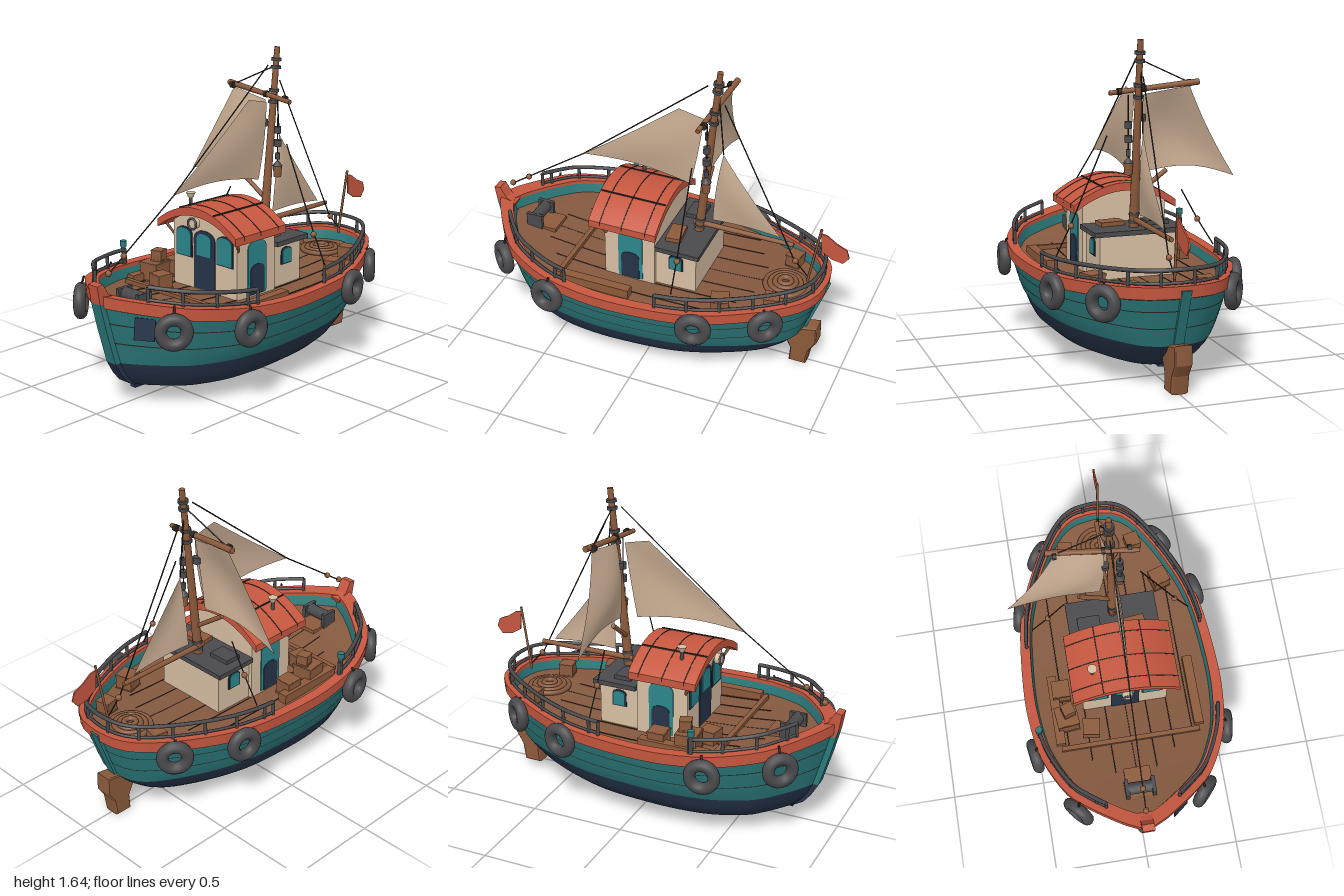
import * as THREE from 'three';
import { toCreasedNormals } from 'three/addons/utils/BufferGeometryUtils.js';

const paint = (name, color, side = THREE.FrontSide) => {
  const m = new THREE.MeshStandardMaterial({ color, side });
  m.name = name;
  return m;
};
const V = (x, y, z) => new THREE.Vector3(x, y, z);

export function createModel() {
  const model = new THREE.Group();
  const red = paint('red trim', 0xc6573f), teal = paint('teal hull', 0x2c7a7c);
  const navy = paint('navy', 0x263449), deckBrown = paint('deck planks', 0x85593f);
  const wood = paint('spar wood', 0x8c5a3b), cream = paint('cream wall', 0xd8bfa3);
  const canvas = paint('sail canvas', 0xc6aa90, THREE.DoubleSide);
  const charcoal = paint('charcoal', 0x4a4a4d), glass = paint('window glass', 0x2b868c);
  const ink = paint('dark rope', 0x302824);

  // ---- helpers ----
  const add = (name, geo, mat, x = 0, y = 0, z = 0, ry = 0, parent = model) => {
    const m = new THREE.Mesh(geo, mat);
    m.name = name;
    m.position.set(x, y, z);
    m.rotation.y = ry;
    parent.add(m);
    return m;
  };
  const box = (name, w, h, d, mat, x, y, z, ry = 0) => add(name, new THREE.BoxGeometry(w, h, d), mat, x, y, z, ry);
  const cyl = (name, r1, r2, h, mat, x, y, z) => add(name, new THREE.CylinderGeometry(r1, r2, h, 14), mat, x, y, z);
  const rod = (name, a, b, r, mat, rEnd = r) => {
    const d = b.clone().sub(a);
    const m = add(name, new THREE.CylinderGeometry(rEnd, r, d.length(), r > 0.008 ? 12 : 6), mat);
    m.position.copy(a).addScaledVector(d, 0.5);
    m.quaternion.setFromUnitVectors(V(0, 1, 0), d.normalize());
    return m;
  };
  const tube = (name, pts, r, mat) =>
    add(name, new THREE.TubeGeometry(new THREE.CatmullRomCurve3(pts), pts.length * 3, r, 6), mat);
  const loft = (rows) => {
    const n = rows[0].length, idx = [];
    for (let i = 0; i < rows.length - 1; i++)
      for (let j = 0; j < n - 1; j++) {
        const a = i * n + j, c = a + n;
        idx.push(a, a + 1, c + 1, a, c + 1, c);
      }
    const g = new THREE.BufferGeometry().setFromPoints(rows.flat());
    g.setIndex(idx);
    return toCreasedNormals(g, 0.7);
  };
  // side silhouette given as [z, y], extruded across x
  const profile = (name, pts, w, mat, x = 0) => {
    const g = new THREE.ExtrudeGeometry(new THREE.Shape(pts.map(p => new THREE.Vector2(...p))), { depth: w, bevelEnabled: false });
    return add(name, g.rotateY(-Math.PI / 2).translate(w / 2, 0, 0), mat, x);
  };

  // ---- hull: one plan outline, scaled level by level ----
  const plan = new THREE.SplineCurve([[0, .97], [.07, .94], [.14, .9], [.28, .8], [.38, .7], [.475, .5], [.51, .3],
    [.515, .1], [.49, -.2], [.44, -.4], [.35, -.6], [.26, -.75], [.19, -.83], [.11, -.875], [0, -.89]]
    .map(p => new THREE.Vector2(...p)));
  const half = plan.getSpacedPoints(40);
  const loop = [...half, ...half.slice(0, -1).reverse().map(p => new THREE.Vector2(-p.x, p.y))];
  const sheer = z => .505 + (z > 0 ? .1 : .06) * z * z;
  const ring = (w, zs, zb, y) => loop.map(p => {
    const z = zs + (p.y + .89) / 1.86 * (zb - zs);
    return V(p.x / .515 * w, typeof y === 'number' ? y : y(z), z);
  });
  const side = (f, out = 0) => ring(.43 + .08 * f ** .75 + out, -.79 - .09 * f - out, .88 + .085 * f + out,
    z => .235 + f * (sheer(z) - .05 - .235));
  add('lowerHull', loft([ring(0, -.58, .74, .08), ring(.29, -.58, .74, .085), ring(.34, -.63, .79, .1),
    ring(.385, -.69, .83, .14), ring(.412, -.75, .86, .19), ring(.43, -.79, .88, .235)]), navy);
  add('upperHull', loft([0, .15, .3, .45, .6, .75, .9, 1].map(f => side(f))), teal);
  [.36, .7].forEach(f => add('plankSeam', loft([side(f, .002), side(f + .02, .002)]), ink));
  const sy = d => z => sheer(z) + d;
  add('gunwale', loft([ring(.508, -.875, .955, sy(-.065)), ring(.523, -.892, .975, sy(-.06)), ring(.526, -.897, .978, sy(0)),
    ring(.472, -.84, .9, sy(0)), ring(.472, -.84, .9, sy(-.02))]), red);
  add('innerBulwark', loft([ring(.474, -.843, .903, sy(-.015)), ring(.462, -.83, .885, sy(-.075))]), teal);
  add('deck', loft([ring(.465, -.835, .89, sy(-.07)), ring(0, -.835, .89, sy(-.065))]), deckBrown);
  for (let i = -3; i <= 3; i++) {
    const zs = -.6 + Math.abs(i) * .06, zb = .72 - Math.abs(i) * .09, pts = [];
    for (let k = 0; k <= 8; k++) { const z = zs + (zb - zs) * k / 8; pts.push(V(i * .11, sheer(z) - .066, z)); }
    tube('deckSeam', pts, .0025, ink);
  }

  // stem, stern post, keel and rudder
  profile('stem', [[.985, .56], [.95, .42], [.897, .235], [.83, .235], [.9, .56]], .065, teal);
  profile('stemFoot', [[.897, .235], [.86, .17], [.82, .12], [.76, .085], [.7, .085], [.78, .235]], .065, navy);
  profile('stemHead', [[1, .655], [.965, .66], [.93, .6], [.88, .575], [.9, .53], [.965, .52], [.985, .56]], .065, red);
  box('keel', .035, .02, 1.34, navy, 0, .08, .09);
  profile('sternPost', [[-.8, .23], [-.905, .53], [-.86, .53], [-.74, .23]], .05, teal);
  const rudder = new THREE.Shape([[-.71, .22], [-.86, .25], [-.862, .16], [-.825, .1], [-.81, .01], [-.73, .01], [-.735, .09], [-.7, .16]]
    .map(p => new THREE.Vector2(...p)));
  add('rudder', new THREE.ExtrudeGeometry(rudder, { depth: .05, bevelSize: .008, bevelThickness: .02, bevelSegments: 2 })
    .rotateY(-Math.PI / 2).translate(.025, 0, 0), wood);

  // ---- fenders, railings ----
  const tyre = new THREE.TorusGeometry(.063, .031, 12, 28);
  for (const s of [1, -1]) {
    [[.335, .45, .795, .85], [.515, .425, .455, 1.42], [.485, .435, -.345, 1.8], [.335, .445, -.675, 2.25]].forEach(([x, y, z, a]) => {
      add('tyreFender', tyre, charcoal, s * x, y, z, s * a);
      rod('fenderRope', V(s * x, y + .07, z), V(s * x * .97, sheer(z) + .01, z * .98), .006, ink);
    });
  }
  const railing = (pts) => {
    tube('handRail', pts.map(p => V(p.x, p.y + .075, p.z)), .011, charcoal);
    tube('lowRail', pts.map(p => V(p.x, p.y + .012, p.z)), .008, charcoal);
    pts.forEach((p, i) => { if (i % 3 === 0 || i === pts.length - 1) rod('railPost', p, V(p.x, p.y + .075, p.z), .009, charcoal); });
  };
  const railLine = ring(.49, -.862, .93, sy(0));
  railing(railLine.filter(p => p.z > .36 && p.z < .84 && p.x > 0));
  railing(railLine.filter(p => p.z > .36 && p.z < .84 && p.x < 0));
  railing(railLine.filter(p => p.z < -.09));
  const grille = box('bowGrille', .1, .11, .008, navy, .197, .445, .853, .68);
  grille.rotation.x = -.1;

  // ---- wheelhouse ----
  const arch = (hw, yEdge, yCtrl, yLow, lowCtrl) => {
    const s = new THREE.Shape();
    s.moveTo(-hw, yLow); 
    if (lowCtrl) s.quadraticCurveTo(0, lowCtrl, hw, yLow); else s.lineTo(hw, yLow);
    s.lineTo(hw, yEdge);
    s.quadraticCurveTo(0, yCtrl, -hw, yEdge);
    return s;
  };
  const slab = (shape, z0, z1) => toCreasedNormals(
    new THREE.ExtrudeGeometry(shape, { depth: z1 - z0, bevelEnabled: false, curveSegments: 20 }).translate(0, 0, z0), .5);
  add('wheelhouse', slab(arch(.225, .79, .92, .43), -.03, .25), cream);
  add('wheelhouseRoof', slab(arch(.278, .79, 1.0, .75, .955), -.055, .315), red);
  [.0, .13, .25].forEach(z => add('roofSeam', slab(arch(.279, .792, 1.002, .77, .98), z, z + .005), ink));
  [-.12, .12].forEach(x => box('roofBatten', .006, .012, .36, ink, x, .875, .13));
  const panel = (name, w, h, depth, mat, x, y, z, ry) => {
    const s = new THREE.Shape();
    s.moveTo(-w / 2, 0); s.lineTo(w / 2, 0); s.lineTo(w / 2, h - w * .42);
    s.bezierCurveTo(w / 2, h, -w / 2, h, -w / 2, h - w * .42);
    add(name, new THREE.ExtrudeGeometry(s, { depth, bevelEnabled: false }), mat, x, y, z, ry);
  };
  for (const s of [1, -1]) {
    panel('frontWindowFrame', .115, .17, .005, navy, s * .145, .605, .25, 0);
    panel('frontWindow', .1, .155, .009, glass, s * .145, .612, .25, 0);
    panel('sideDoorFrame', .135, .3, .005, glass, s * .225, .45, .105, s * Math.PI / 2);
    panel('sideDoor', .1, .17, .009, navy, s * .225, .45, .105, s * Math.PI / 2);
    panel('cabinWindowFrame', .08, .1, .005, navy, s * .205, .55, -.14, s * Math.PI / 2);
    panel('cabinWindow', .065, .085, .009, glass, s * .205, .557, -.14, s * Math.PI / 2);
    rod('roofBracket', V(s * .225, .7, .24), V(s * .26, .775, .28), .008, wood);
  }
  panel('frontDoor', .15, .33, .005, navy, 0, .45, .25, 0);
  panel('frontDoorWindow', .1, .13, .009, glass, 0, .63, .25, 0);
  const lamp = cyl('roofLamp', .028, .028, .03, cream, 0, .82, .325);
  lamp.rotation.x = Math.PI / 2;
  add('roofLampRim', new THREE.TorusGeometry(.028, .006, 8, 20), charcoal, 0, .82, .34);
  cyl('ventPipe', .01, .01, .07, charcoal, -.16, .88, .19);
  cyl('ventCap', .025, .014, .025, cream, -.16, .915, .19);
  // low aft cabin
  box('aftCabin', .41, .24, .23, cream, 0, .55, -.135);
  box('aftCabinRoof', .48, .025, .24, charcoal, 0, .678, -.155);
  box('roofHatch', .13, .025, .08, wood, .1, .7, -.1, .1);
  box('roofBox', .12, .025, .09, charcoal, -.13, .7, -.13);

  // ---- mast and spars ----
  const mastAt = y => V(.005, y, -.17 - .1 * (y - .5));
  rod('mast', mastAt(.45), mastAt(1.645), .027, wood, .015);
  [.72, .76, 1.36, 1.42, 1.54, 1.58].forEach(y => rod('mastBand', mastAt(y - .008), mastAt(y + .008), .027, charcoal));
  rod('yard', V(-.315, 1.425, -.262), V(.148, 1.38, -.225), .016, wood, .012);
  [-.27, -.03, .1].forEach(x => rod('yardBand', V(x - .01, 1.396 - .08 * x, -.24), V(x + .01, 1.396 - .08 * x, -.24), .018, ink));
  rod('boom', V(0, .73, -.16), V(0, .73, -.7), .015, wood, .012);
  rod('sprit', V(-.17, .975, -.19), V(-.01, .86, -.2), .012, wood);
  [[1.22, .018], [1.15, .02], [1.08, .012]].forEach(([y, r]) => cyl('pulleyBlock', r, r, .035, charcoal, .052, y, -.24));
  cyl('lantern', .024, .02, .06, wood, .052, 1.0, -.24);
  cyl('lanternCap', .006, .027, .025, charcoal, .052, 1.042, -.24);
  cyl('mastLamp', .02, .02, .035, charcoal, -.025, 1.25, -.22);
  rod('lanternLine', V(.052, 1.03, -.24), V(.052, 1.37, -.24), .003, ink);

  // ---- sails: four corners with a belly ----
  const sail = (name, a, b, c, d, belly, sag) => {
    const rows = [];
    for (let i = 0; i <= 12; i++) {
      const u = i / 12, row = [];
      for (let j = 0; j <= 12; j++) {
        const v = j / 12;
        const p = a.clone().lerp(b, v).lerp(d.clone().lerp(c, v), u);
        p.addScaledVector(belly, Math.sin(Math.PI * u) * (.3 + .7 * Math.sin(Math.PI * v)));
        p.y += sag * u * u * Math.sin(Math.PI * v);
        row.push(p);
      }
      rows.push(row);
    }
    add(name, loft(rows), canvas);
  };
  sail('squareSail', V(-.27, 1.405, -.25), V(-.03, 1.37, -.235), V(-.06, .975, -.2), V(-.54, .925, -.2), V(.035, 0, .04), .04);
  sail('jib', V(.005, 1.395, -.07), V(.005, 1.365, -.205), V(.01, .965, -.14), V(0, .99, .465), V(.02, 0, -.02), .03);
  sail('mizzenSail', V(0, 1.18, -.31), V(0, 1.17, -.315), V(0, .755, -.63), V(0, .765, -.26), V(.02, 0, .025), .01);

  // ---- rigging ----
  const line = (...pts) => { for (let i = 0; i < pts.length - 1; i++) rod('riggingLine', pts[i], pts[i + 1], .0035, ink); };
  line(V(0, 1.555, -.22), V(0, .99, .465), V(0, .68, .91));
  line(V(0, 1.465, -.31), V(.02, .66, -.71), V(.02, .56, -.8));
  line(V(0, 1.5, -.28), V(0, 1.18, -.31));
  line(V(.15, 1.165, -.2), V(.34, .73, -.2), V(.42, .57, -.2));
  line(V(-.25, .87, -.2), V(-.34, .71, -.2), V(-.43, .57, -.2));
  line(V(-.25, 1.43, -.25), V(0, 1.545, -.27));
  [[0, .69, .9], [0, .755, .8], [.34, .72, -.2], [-.34, .71, -.2], [.02, .65, -.72]].forEach(([x, y, z]) =>
    add('rigBlock', new THREE.SphereGeometry(.016, 10, 8), wood, x, y, z));

  // flag at the stern
  rod('flagPole', V(.02, .54, -.79), V(.03, .89, -.848), .007, wood);
  profile('flag', [[-.848, .865], [-.88, .86], [-.93, .825], [-.985, .8], [-1, .755], [-.97, .715], [-.91, .725], [-.855, .76]], .008, red, .03);

  // ---- deck gear ----
  const crate = (x, y, z, s, ry = 0) => {
    box('crate', s, s, s, wood, x, y + s / 2, z, ry);
    [.08, .92].forEach(k => box('crateBand', s * 1.06, s * .14, s * 1.06, deckBrown, x, y + s * k, z, ry));
  };
  crate(-.32, .44, .3, .11, .1);
  crate(-.2, .44, .37, .085, -.15);
  crate(-.31, .55, .28, .06, .3);
  crate(-.33, .44, .14, .09);
  for (const s of [1, -1]) {
    box('sideBench', .05, .05, .38, wood, s * .37, .465, .24);
    crate(s * .19, .455, -.66, .075, s * .2);
  }
  crate(.3, .44, -.42, .09, .3);
  box('deckBeam', .74, .03, .025, wood, 0, .465, .455);
  [.03, .055, .08, .105].forEach((r, i) => {
    const coil = add('ropeCoil', new THREE.TorusGeometry(r, .014, 8, 28), i % 2 ? deckBrown : wood, 0, .49 - i * .006, -.67);
    coil.rotation.x = Math.PI / 2;
  });
  const drum = cyl('windlassDrum', .032, .032, .13, charcoal, 0, .54, .74);
  drum.rotation.z = Math.PI / 2;
  [-.07, .07].forEach(x => box('windlassCheek', .02, .09, .09, charcoal, x, .525, .74));
  box('windlassBase', .14, .02, .2, wood, 0, .49, .72);
  cyl('deckLampPost', .012, .012, .12, charcoal, -.475, .56, .38);
  cyl('deckLamp', .018, .018, .03, teal, -.475, .63, .38);
  return model;
}
